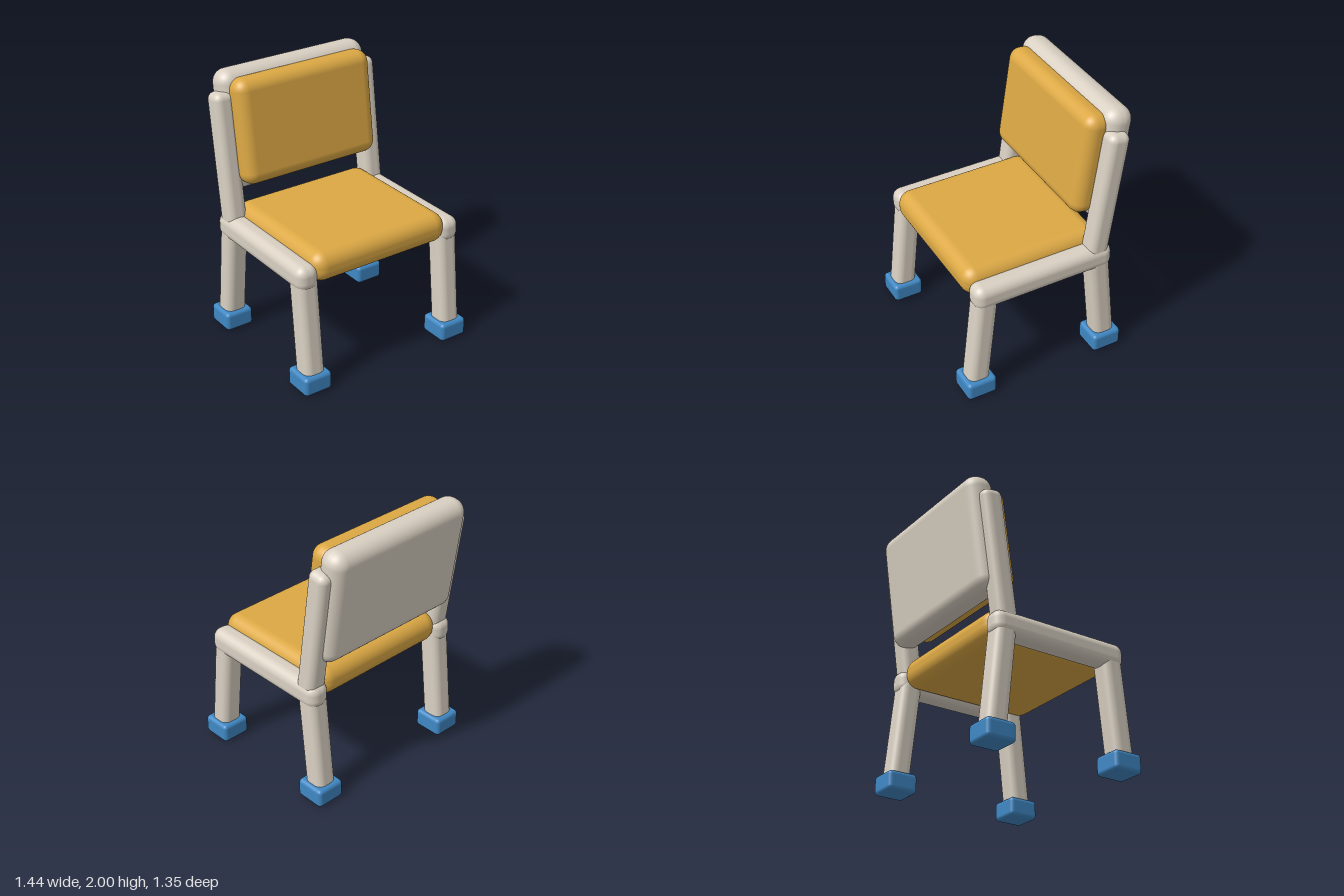
import * as THREE from 'three';
import { RoundedBoxGeometry } from 'three/addons/geometries/RoundedBoxGeometry.js';

export function createModel() {
  const group = new THREE.Group();
  group.name = 'chair';

  const material = (name, color) => {
    const m = new THREE.MeshStandardMaterial({ color });
    m.name = name;
    return m;
  };
  const gold = material('gold cushion', 0xdca844);
  const cream = material('cream frame', 0xd9d0c2);
  const blue = material('blue feet', 0x3f87c3);

  // Rounded block: size, corner radius, centre and backward/forward tilt
  const block = (name, mat, [w, h, d], radius, [x, y, z], tilt = 0) => {
    const mesh = new THREE.Mesh(new RoundedBoxGeometry(w, h, d, 6, radius), mat);
    mesh.name = name;
    mesh.position.set(x, y, z);
    mesh.rotation.x = tilt;
    group.add(mesh);
  };

  const legTilt = 0.105;
  const backTilt = -0.14;

  // Seat and backrest
  block('seatCushion', gold, [1.14, 0.225, 1.08], 0.1, [0, 0.908, 0.06]);
  block('backPanel', cream, [1.24, 0.885, 0.215], 0.1, [0, 1.56, -0.518], backTilt);
  block('backCushion', gold, [1.14, 0.78, 0.2], 0.09, [0, 1.578, -0.385], backTilt);

  // Frame, mirrored on both sides
  for (const [side, s] of [['left', 1], ['right', -1]]) {
    block(side + 'SeatRail', cream, [0.17, 0.187, 1.09], 0.07, [s * 0.611, 0.862, 0.04]);
    block(side + 'BackPost', cream, [0.155, 1.01, 0.162], 0.055, [s * 0.608, 1.36, -0.457], backTilt);
    block(side + 'FrontLeg', cream, [0.165, 0.8, 0.165], 0.055, [s * 0.605, 0.48, 0.525], -legTilt);
    block(side + 'RearLeg', cream, [0.165, 0.8, 0.165], 0.055, [s * 0.605, 0.48, -0.443], legTilt);
    block(side + 'FrontFoot', blue, [0.224, 0.144, 0.23], 0.03, [s * 0.606, 0.072, 0.56]);
    block(side + 'RearFoot', blue, [0.224, 0.144, 0.23], 0.03, [s * 0.606, 0.072, -0.48]);
  }

  return group;
}
